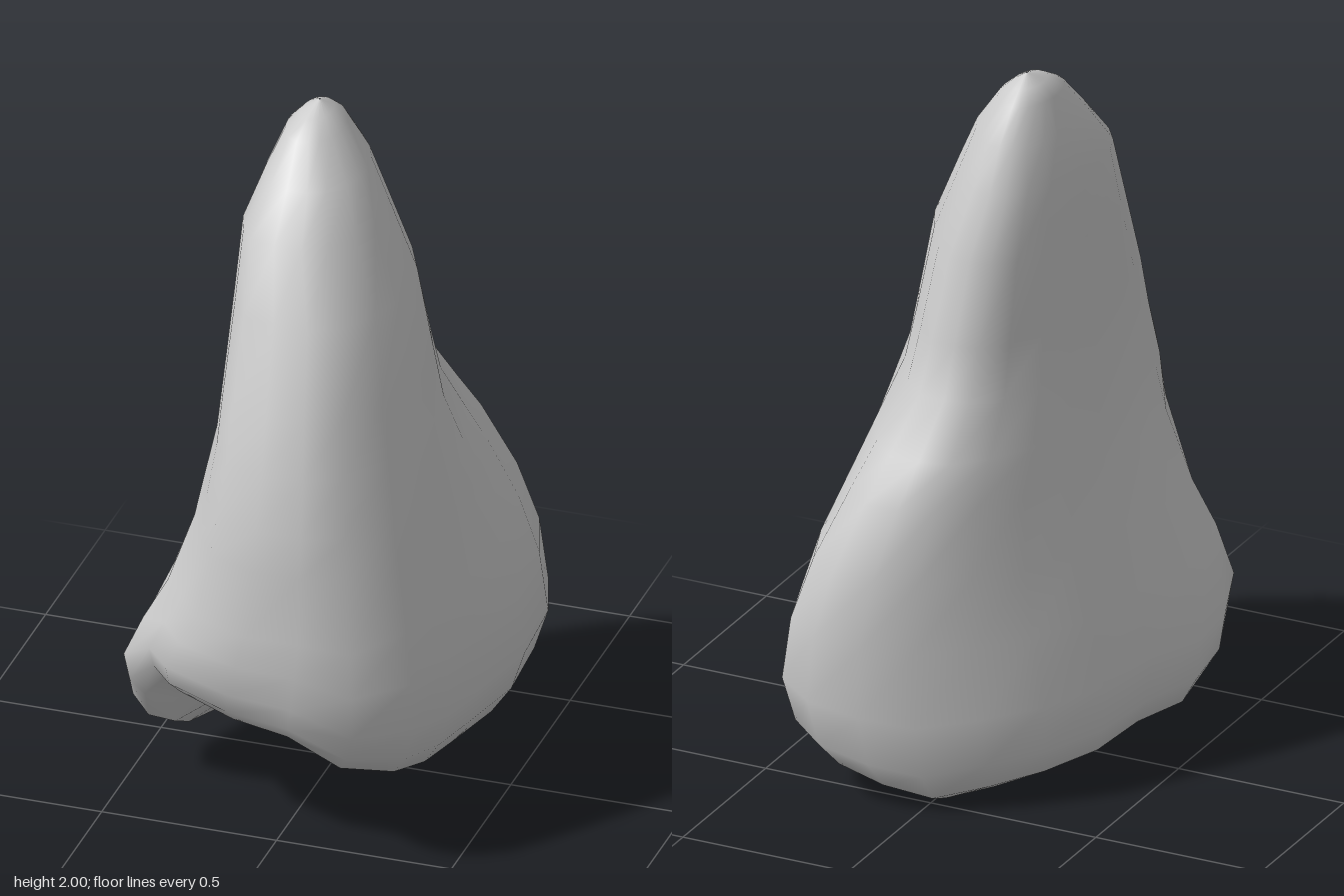
import * as THREE from 'three';

// Footprint from above: left, back, right, front (x, z, height of the base rim there)
const foot = [
  [-0.5, 0.3, 0.18], [-0.49, 0.17, 0.13], [-0.42, 0, 0.12], [-0.38, -0.2, 0.1], [-0.28, -0.37, 0.08],
  [-0.15, -0.49, 0.055], [0, -0.595, 0.03], [0.15, -0.64, 0.06], [0.3, -0.65, 0.1], [0.41, -0.58, 0.13],
  [0.47, -0.4, 0.13], [0.49, -0.14, 0.14], [0.45, 0.12, 0.16], [0.42, 0.3, 0.175], [0.38, 0.48, 0.22],
  [0.26, 0.65, 0.29], [0.07, 0.61, 0.34], [-0.11, 0.615, 0.37], [-0.31, 0.54, 0.39], [-0.39, 0.44, 0.38],
  [-0.48, 0.39, 0.29],
];

// Body outline in unit size, same order: round in front, wedge-shaped at the back
const body = [
  [-0.98, 0.28], [-1, 0.08], [-0.98, -0.12], [-0.92, -0.37], [-0.79, -0.6], [-0.59, -0.82], [-0.35, -0.97],
  [-0.1, -1], [0.17, -0.99], [0.42, -0.84], [0.7, -0.55], [0.92, -0.24], [1, 0.05], [0.97, 0.3], [0.84, 0.6],
  [0.55, 0.88], [0.2, 1], [-0.22, 1], [-0.62, 0.93], [-0.83, 0.73], [-0.95, 0.5],
];

const mix = THREE.MathUtils.lerp;

// One cross-section: foot outline blended to body outline, then to an ellipse, fitted to a range
function section([x0, x1, z0, z1], blend, round = 0) {
  return foot.map(([x, z], i) => {
    const u = mix((x + 0.005) / 0.495, body[i][0], blend);
    const v = mix(z / 0.65, body[i][1], blend);
    const k = mix(1, 1 / Math.hypot(u, v), round);
    return [(x0 + x1) / 2 + u * k * (x1 - x0) / 2, (z0 + z1) / 2 + v * k * (z1 - z0) / 2];
  });
}

export function createModel() {
  const rings = [];
  const rimRange = [-0.45, 0.40, -0.58, 0.56];
  const rim = section(rimRange, 0);

  // Hollowed underside, from its middle out to the rim
  for (const [s, w, drop] of [[0.01, 0, 0], [0.3, 0.12, 0], [0.6, 0.5, 0], [0.85, 1, 0.03]]) {
    rings.push(rim.map(([x, z], i) =>
      [mix(-0.03, x, s), mix(0.24, foot[i][2], w) - drop, mix(-0.02, z, s)]));
  }

  // Flared foot, blending the uneven rim into level sections
  const flare = 0.68;
  for (const [f, range, blend] of [
    [0, rimRange, 0],
    [0.13, [-0.49, 0.45, -0.64, 0.6], 0],
    [0.35, [-0.5, 0.49, -0.65, 0.63], 0],
    [0.68, [-0.44, 0.475, -0.65, 0.65], 0.08],
    [1, [-0.37, 0.44, -0.625, 0.645], 0.25],
  ]) {
    rings.push(section(range, blend).map(([x, z], i) => [x, mix(foot[i][2], flare, f), z]));
  }

  // Tapering body up to the rounded tip
  for (const [y, range, blend, round] of [
    [0.88, [-0.3, 0.385, -0.565, 0.625], 0.55, 0],
    [1.0, [-0.275, 0.36, -0.49, 0.605], 0.75, 0],
    [1.15, [-0.245, 0.32, -0.39, 0.555], 0.95, 0],
    [1.3, [-0.235, 0.29, -0.355, 0.505], 1, 0],
    [1.53, [-0.225, 0.24, -0.3, 0.4], 1, 0],
    [1.72, [-0.22, 0.155, -0.25, 0.305], 1, 0.1],
    [1.84, [-0.18, 0.095, -0.2, 0.2], 1, 0.3],
    [1.94, [-0.14, 0.02, -0.145, 0.105], 1, 0.7],
    [1.975, [-0.105, -0.02, -0.1, 0.04], 1, 1],
    [2.0, [-0.062, -0.058, -0.042, -0.038], 1, 1],
  ]) rings.push(section(range, blend, round).map(([x, z]) => [x, y, z]));

  // Skin the rings
  const n = foot.length, index = [];
  for (let j = 0; j < rings.length - 1; j++) {
    for (let i = 0; i < n; i++) {
      const a = j * n + i, b = j * n + (i + 1) % n;
      index.push(a, a + n, b, b, a + n, b + n);
    }
  }
  const geometry = new THREE.BufferGeometry();
  geometry.setAttribute('position', new THREE.Float32BufferAttribute(rings.flat(2), 3));
  geometry.setIndex(index);
  geometry.computeVertexNormals();

  const rock = new THREE.Mesh(geometry, new THREE.MeshStandardMaterial({ color: 0xcccccc }));
  rock.name = 'pointedBody';
  const model = new THREE.Group();
  model.name = 'pointedRock';
  model.add(rock);
  return model;
}
